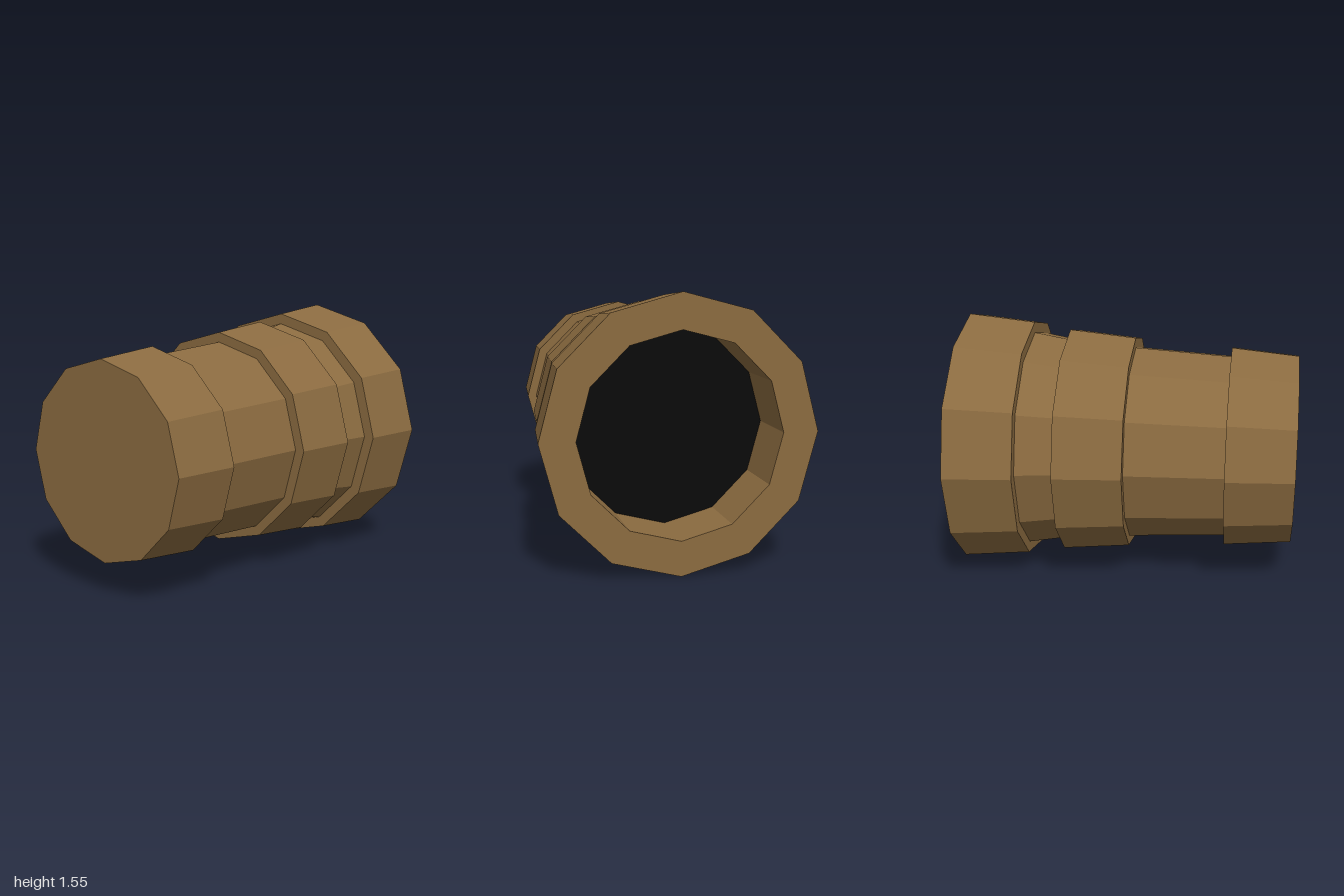
import * as THREE from 'three';

const SIDES = 12;
const CENTRE_Y = 0.775;

export function createModel() {
  const model = new THREE.Group();
  const brown = new THREE.MeshStandardMaterial({ color: 0x8b6b40, flatShading: true });
  brown.name = 'brown';
  const black = new THREE.MeshStandardMaterial({ color: 0x0a0a0a, flatShading: true });
  black.name = 'black';

  const add = (name, geometry, material) => {
    const mesh = new THREE.Mesh(geometry, material);
    mesh.name = name;
    mesh.position.y = CENTRE_Y;
    model.add(mesh);
    return mesh;
  };

  // Twelve-sided ring along z, profile given as [radius, z] from back to front
  const ring = (name, profile) => {
    const points = profile.map(([r, z]) => new THREE.Vector2(r, z));
    add(name, new THREE.LatheGeometry(points, SIDES).rotateX(Math.PI / 2), brown);
  };

  // Rear collar with its hollow mouth
  ring('rearCollar', [[0.575, -0.63], [0.575, -1], [0.775, -1], [0.735, -0.6], [0.67, -0.6]]);
  // Short neck between the rear and middle collars
  ring('rearNeck', [[0.67, -0.6], [0.632, -0.38]]);
  // Middle collar with a step at each end
  ring('middleCollar', [[0.632, -0.38], [0.696, -0.38], [0.657, 0.02], [0.597, 0.02]]);
  // Long neck between the middle and front collars
  ring('frontNeck', [[0.597, 0.02], [0.562, 0.6]]);
  // Front collar, closed by a flat cap
  ring('frontCollar', [[0.562, 0.6], [0.617, 0.6], [0.58, 1], [0, 1]]);

  // Dark floor of the hollow mouth, facing the back
  const floor = new THREE.CircleGeometry(0.575, SIDES).rotateY(Math.PI);
  add('mouthFloor', floor, black).position.z = -0.63;

  return model;
}
